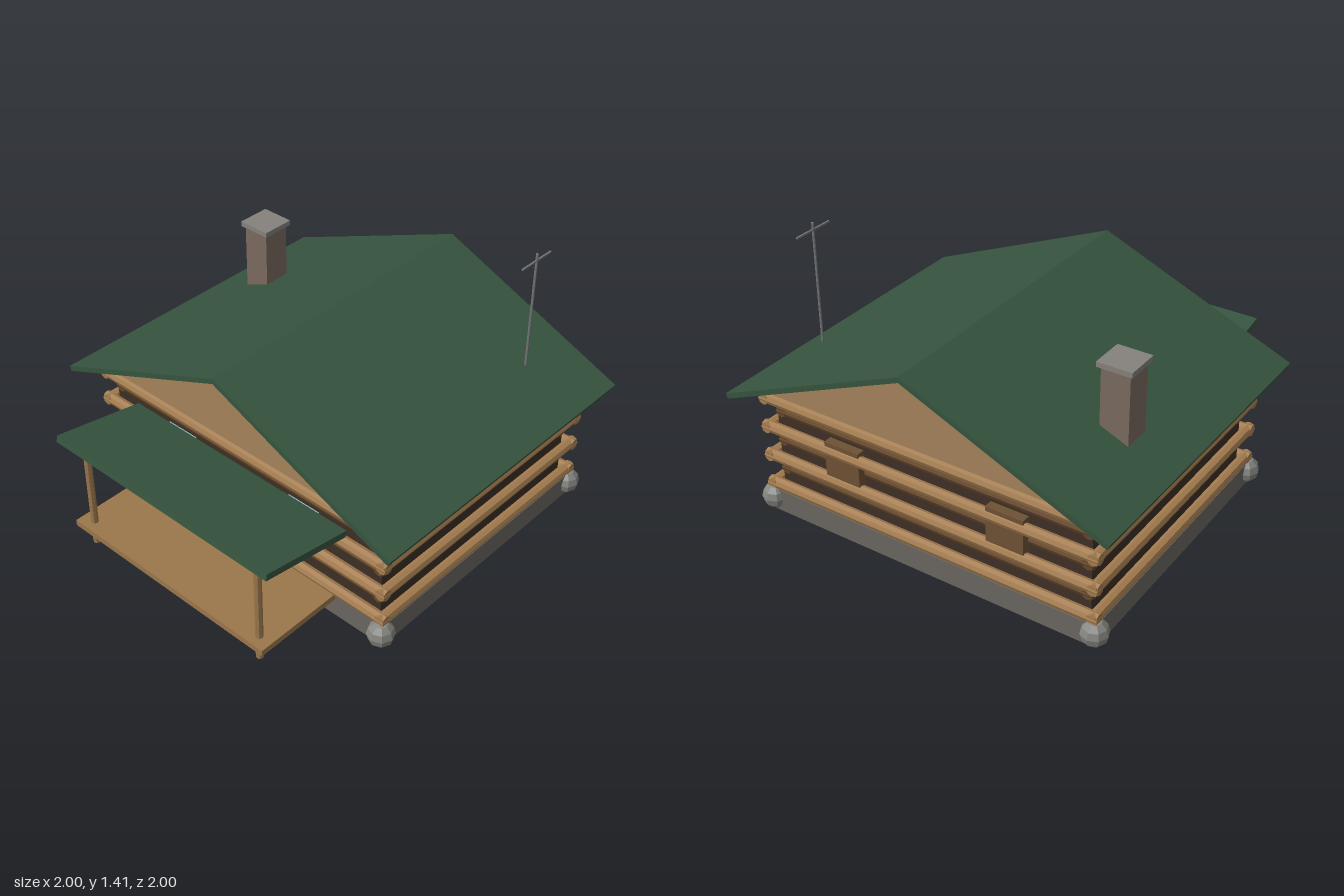
import * as THREE from 'three';

export function createModel() {
  const root = new THREE.Group();
  root.name = 'logCabin';

  const mat = (color) => new THREE.MeshStandardMaterial({ color, flatShading: true });
  const logMat = mat(0xa47c4f), darkLogMat = mat(0x654729), coreMat = mat(0x3d2f25);
  const stoneMat = mat(0x6a6661), boulderMat = mat(0x858580), roofMat = mat(0x36543f);
  const gableMat = mat(0xa5825a), deckMat = mat(0x9b774c), doorMat = mat(0x44362d);
  const glassMat = mat(0x93b6c6), shutterMat = mat(0x6e5234), chimneyMat = mat(0x7a6a5e);
  const capMat = mat(0x85827d), metalMat = mat(0x77777a);

  const add = (name, geo, material, x = 0, y = 0, z = 0, parent = root) => {
    const mesh = new THREE.Mesh(geo, material);
    mesh.name = name;
    mesh.position.set(x, y, z);
    parent.add(mesh);
    return mesh;
  };
  // Box given by its extents on each axis
  const box = (name, m, [x0, x1], [y0, y1], [z0, z1]) =>
    add(name, new THREE.BoxGeometry(x1 - x0, y1 - y0, z1 - z0), m,
      (x0 + x1) / 2, (y0 + y1) / 2, (z0 + z1) / 2);
  // Profile in the x-y plane drawn out from z0 to z1
  const prism = (name, m, points, z0, z1) => {
    const shape = new THREE.Shape(points.map(([x, y]) => new THREE.Vector2(x, y)));
    const geo = new THREE.ExtrudeGeometry(shape, { depth: z1 - z0, bevelEnabled: false });
    return add(name, geo, m, 0, 0, z0);
  };

  // Foundation with a boulder at each corner
  const midZ = -0.185;
  box('foundation', stoneMat, [-0.89, 0.89], [0, 0.115], [-0.9, 0.525]);
  for (const x of [-0.875, 0.875])
    for (const z of [0.52, -0.88])
      add('cornerBoulder', new THREE.SphereGeometry(0.066, 8, 6), boulderMat, x, 0.066, z);

  // Walls: dark core, long light logs alternating with short dark ones
  box('wallCore', coreMat, [-0.838, 0.838], [0.11, 0.63], [-0.85, 0.482]);
  const walls = new THREE.Group();
  walls.name = 'logWalls';
  root.add(walls);
  for (let i = 0; i < 7; i++) {
    const long = i % 2 === 0;
    const y = 0.14 + i * 0.0775;
    const hx = long ? 0.87 : 0.818, hz = long ? 0.695 : 0.645;
    const m = long ? logMat : darkLogMat;
    const name = long ? 'longLog' : 'shortLog';
    for (const s of [-1, 1]) {
      const front = new THREE.CylinderGeometry(0.028, 0.028, 2 * hx + 0.05, 8);
      front.rotateZ(Math.PI / 2);
      add(name, front, m, 0, y, midZ + s * hz, walls);
      const side = new THREE.CylinderGeometry(0.028, 0.028, 2 * hz + 0.05, 8);
      side.rotateX(Math.PI / 2);
      add(name, side, m, s * hx, y, midZ, walls);
    }
  }

  // Gables and main roof
  prism('gable', gableMat, [[-0.87, 0.632], [0.87, 0.632], [0, 1.036]], -0.885, 0.515);
  prism('mainRoof', roofMat, [
    [0, 1.06], [-1, 0.641], [-0.99, 0.616], [0, 1.033], [0.99, 0.616], [1, 0.641],
  ], -1, 0.635);

  // Door, front windows and back shutters
  box('door', doorMat, [-0.095, 0.095], [0.12, 0.475], [0.48, 0.545]);
  for (const s of [-1, 1]) {
    const at = (c, h) => [s * c - h, s * c + h];
    box('frontWindow', glassMat, at(0.385, 0.09), [0.3, 0.495], [0.48, 0.541]);
    box('backShutter', shutterMat, at(0.435, 0.095), [0.3, 0.495], [-0.893, -0.85]);
    // Porch posts
    add('porchPost', new THREE.CylinderGeometry(0.018, 0.018, 0.505, 8), deckMat, s * 0.54, 0.2525, 0.93);
  }

  // Porch deck and its tilted roof
  box('porchDeck', deckMat, [-0.61, 0.61], [0.093, 0.124], [0.5, 0.985]);
  const porchRoof = add('porchRoof', new THREE.BoxGeometry(1.32, 0.034, 0.49), roofMat, 0, 0.55, 0.756);
  porchRoof.rotation.x = -0.175;

  // Chimney
  box('chimney', chimneyMat, [-0.785, -0.645], [0.66, 1.08], [-0.495, -0.355]);
  box('chimneyCap', capMat, [-0.8, -0.63], [1.072, 1.097], [-0.51, -0.34]);

  // Antenna
  add('antennaMast', new THREE.CylinderGeometry(0.006, 0.006, 0.59, 6), metalMat, 0.73, 1.115, -0.633);
  box('antennaBar', metalMat, [0.726, 0.734], [1.371, 1.379], [-0.738, -0.528]);

  return root;
}
